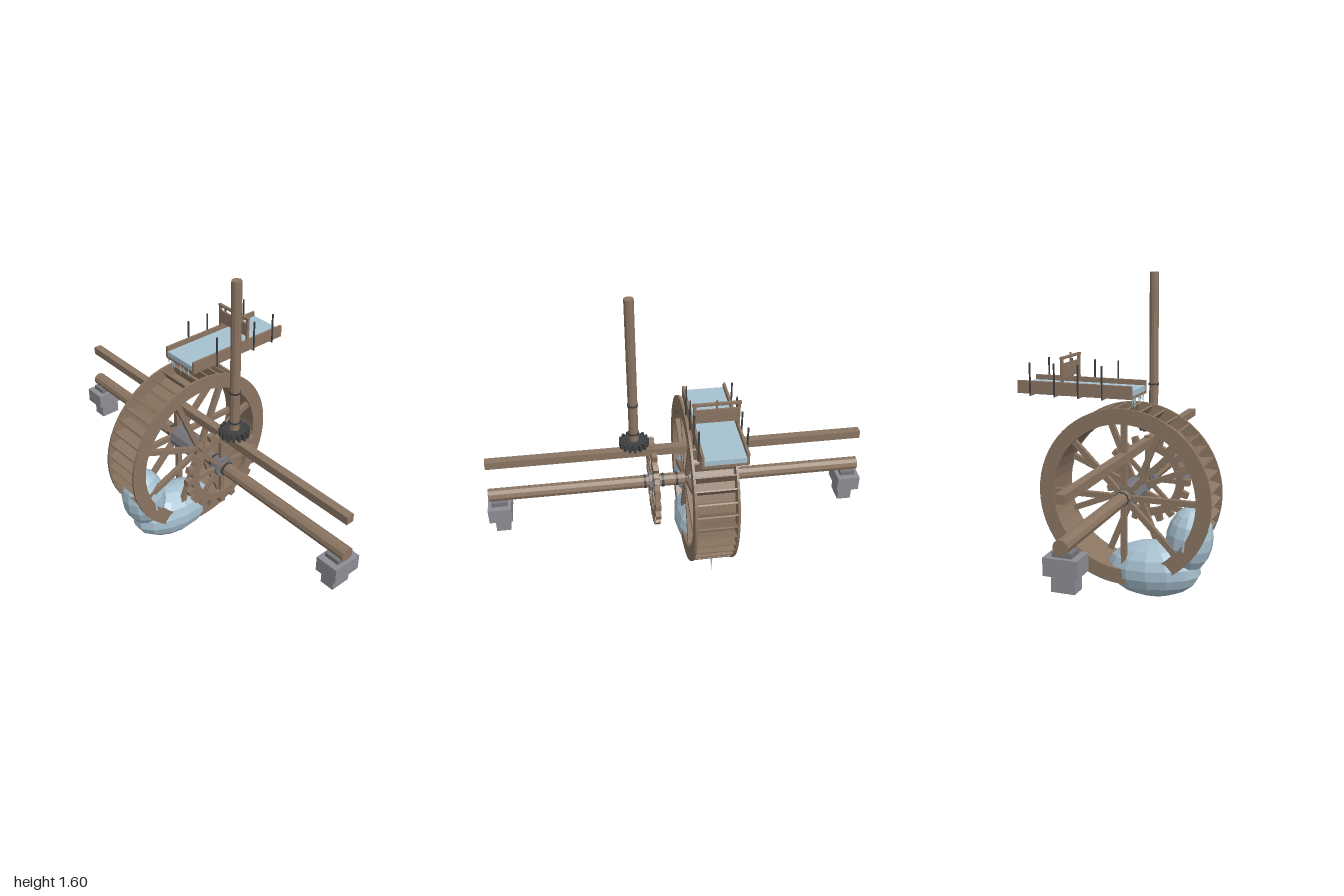
import * as THREE from 'three';

const mat = (name, color) => {
  const m = new THREE.MeshStandardMaterial({ color, flatShading: true });
  m.name = name;
  return m;
};

export function createModel() {
  const wood = mat('wood', 0x8b7562);
  const stone = mat('stone', 0x8e8d95);
  const hubGrey = mat('hub grey', 0x77767c);
  const iron = mat('iron', 0x3f4042);
  const water = mat('water', 0xa7c1d0);
  const root = new THREE.Group();
  const CY = 0.527, CZ = 0.055, WX = -0.145;

  const add = (name, geo, m, x, y, z, parent = root) => {
    const mesh = new THREE.Mesh(geo, m);
    mesh.name = name;
    mesh.position.set(x, y, z);
    parent.add(mesh);
    return mesh;
  };
  const box = (name, m, w, h, d, x, y, z, parent) =>
    add(name, new THREE.BoxGeometry(w, h, d), m, x, y, z, parent);
  // cylinder lying along x
  const rod = (name, m, r, len, x, y, z, sides = 12, parent = root) =>
    add(name, new THREE.CylinderGeometry(r, r, len, sides).rotateZ(Math.PI / 2), m, x, y, z, parent);
  const group = (name, x, y, z) => {
    const g = new THREE.Group();
    g.name = name;
    g.position.set(x, y, z);
    root.add(g);
    return g;
  };
  // flat ring facing x, centred on its thickness
  const ringGeo = (outline, inner, depth, sides) => {
    const s = new THREE.Shape(outline);
    const h = [];
    for (let i = 0; i < sides; i++) {
      const a = -i / sides * Math.PI * 2;
      h.push(new THREE.Vector2(Math.cos(a) * inner, Math.sin(a) * inner));
    }
    s.holes.push(new THREE.Path(h));
    return new THREE.ExtrudeGeometry(s, { depth, bevelEnabled: false })
      .translate(0, 0, -depth / 2).rotateY(Math.PI / 2);
  };
  const circle = (r, n) => Array.from({ length: n }, (_, i) =>
    new THREE.Vector2(Math.cos(i / n * Math.PI * 2) * r, Math.sin(i / n * Math.PI * 2) * r));
  const gearOutline = (n, r0, r1) => {
    const pts = [];
    for (let i = 0; i < n; i++)
      for (const [f, r] of [[-0.3, r0], [-0.2, r1], [0.2, r1], [0.3, r0]]) {
        const a = (i + f) / n * Math.PI * 2;
        pts.push(new THREE.Vector2(Math.cos(a) * r, Math.sin(a) * r));
      }
    return pts;
  };
  const spoke = (parent, name, angle, r0, r1, w, t, x) => {
    const g = new THREE.BoxGeometry(t, r1 - r0, w).translate(0, (r0 + r1) / 2, 0);
    add(name, g, wood, x, 0, 0, parent).rotation.x = angle;
  };

  // water wheel: two rims, spokes, sole and paddles
  const wheel = group('waterWheel', WX, CY, CZ);
  [-1, 1].forEach((s, k) => {
    add('wheelRim', ringGeo(circle(0.444, 64), 0.368, 0.012, 64), wood, s * 0.107, 0, 0, wheel);
    for (let i = 0; i < 8; i++)
      spoke(wheel, 'wheelSpoke', (i + k / 2) / 8 * Math.PI * 2, 0.04, 0.375, 0.028, 0.024, s * 0.09);
  });
  add('wheelSole', ringGeo(circle(0.378, 40), 0.369, 0.204, 40), wood, 0, 0, 0, wheel);
  for (let i = 0; i < 40; i++) {
    const arm = new THREE.Group();
    arm.name = 'paddle';
    arm.rotation.x = i / 40 * Math.PI * 2;
    box('paddleBoard', wood, 0.204, 0.072, 0.008, 0, 0.406, 0, arm).rotation.x = 0.4;
    wheel.add(arm);
  }
  rod('wheelHub', hubGrey, 0.062, 0.17, 0, 0, 0, 10, wheel);

  // main axle with iron bands
  rod('axle', wood, 0.035, 1.98, 0, CY, CZ, 10);
  for (const x of [-0.275, 0, 0.075, 0.17]) rod('axleBand', iron, 0.038, 0.012, x, CY, CZ, 10);

  // bearings and stone footings
  for (const s of [-1, 1]) {
    box('footingTop', stone, 0.12, 0.08, 0.155, s * 0.938, 0.44, CZ);
    box('footingBase', stone, 0.074, 0.08, 0.108, s * 0.932, 0.362, CZ);
    box('bearing', hubGrey, 0.08, 0.025, 0.09, s * 0.938, 0.49, CZ);
  }
  box('crossBeam', wood, 1.965, 0.042, 0.042, 0, 0.73, CZ);

  // spur gear on the axle
  const gear = group('spurGear', 0.124, CY, CZ);
  add('gearRing', ringGeo(gearOutline(20, 0.2, 0.235), 0.16, 0.028, 40), wood, 0, 0, 0, gear);
  for (let i = 0; i < 8; i++) spoke(gear, 'gearSpoke', i / 8 * Math.PI * 2, 0.03, 0.165, 0.022, 0.018, 0);
  rod('gearHub', hubGrey, 0.055, 0.05, 0, 0, 0, 10, gear);

  // upright shaft and pinion
  add('uprightShaft', new THREE.CylinderGeometry(0.025, 0.025, 0.84, 10), wood, 0.22, 1.18, CZ);
  for (const y of [0.85, 1.02])
    add('shaftBand', new THREE.CylinderGeometry(0.028, 0.028, 0.01, 10), iron, 0.22, y, CZ);
  add('pinion', ringGeo(gearOutline(16, 0.056, 0.077), 0.024, 0.034, 20).rotateZ(Math.PI / 2),
    iron, 0.22, 0.792, CZ);

  // flume with running water
  const flume = group('flume', WX, 0, -0.2);
  box('flumeFloor', wood, 0.21, 0.014, 0.6, 0, 1.022, 0, flume);
  box('flumeWater', water, 0.2, 0.026, 0.598, 0, 1.042, 0, flume);
  for (const s of [-1, 1]) {
    box('flumeSide', wood, 0.012, 0.064, 0.6, s * 0.104, 1.048, 0, flume);
    for (const z of [0.15, 0.025, -0.1, -0.23])
      box('flumeStay', iron, 0.007, 0.165, 0.007, s * 0.112, 1.088, z, flume);
    box('gatePost', wood, 0.012, 0.19, 0.014, s * 0.104, 1.11, -0.06, flume);
  }
  for (const z of [0.15, 0.025, -0.1, -0.23])
    box('flumeBearer', wood, 0.22, 0.008, 0.012, 0, 1.011, z, flume);
  box('sluiceGate', wood, 0.2, 0.07, 0.01, 0, 1.135, -0.06, flume);
  box('gateBar', wood, 0.23, 0.012, 0.014, 0, 1.198, -0.06, flume);
  box('gateStem', wood, 0.008, 0.05, 0.008, 0, 1.192, -0.06, flume);

  // water drips at the flume lip and under the wheel
  const drip = (x, y, z, len) =>
    add('drip', new THREE.ConeGeometry(0.005, len, 5).rotateX(Math.PI), water, x, y - len / 2, z);
  [[-0.235, 0.04], [-0.21, 0.055], [-0.195, 0.05], [-0.14, 0.06], [-0.115, 0.04], [-0.08, 0.05]]
    .forEach(([x, len]) => drip(x, 1.02, 0.098, len));
  drip(-0.15, 0.18, -0.22, 0.1);
  drip(-0.2, 0.24, 0.37, 0.14);

  // splashing water around the wheel foot
  const blob = (name, rx, ry, rz, y, z, tilt) => {
    const g = new THREE.SphereGeometry(1, 14, 9).scale(rx, ry, rz);
    add(name, g, water, WX, y, z).rotation.x = tilt;
  };
  blob('splashPool', 0.14, 0.143, 0.246, 0.146, 0.18, -0.06);
  blob('splashRise', 0.116, 0.17, 0.118, 0.318, 0.365, 0.1);

  return root;
}
